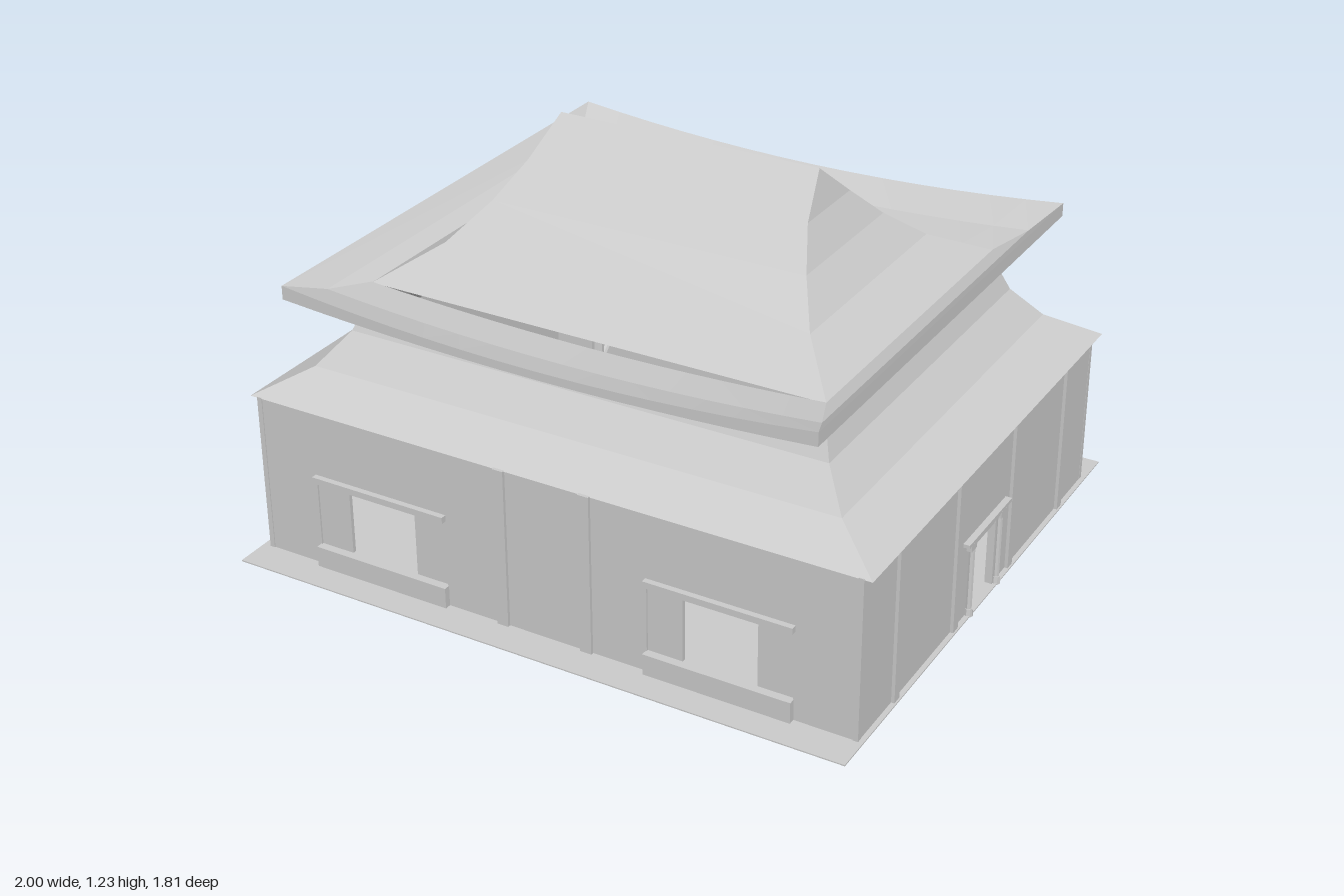
import * as THREE from 'three';

const mat = new THREE.MeshStandardMaterial({ color: 0xcccccc, flatShading: true });
const sheetMat = new THREE.MeshStandardMaterial({ color: 0xcccccc, flatShading: true, side: THREE.DoubleSide });

function add(parent, name, geometry, material = mat) {
  const mesh = new THREE.Mesh(geometry, material);
  mesh.name = name;
  parent.add(mesh);
  return mesh;
}

// Box given by its limits on each axis
function box(parent, name, x0, x1, y0, y1, z0, z1) {
  const g = new THREE.BoxGeometry(x1 - x0, y1 - y0, z1 - z0);
  g.translate((x0 + x1) / 2, (y0 + y1) / 2, (z0 + z1) / 2);
  return add(parent, name, g);
}

// Skin over rectangular rings [halfX, halfZ, y, sag]; the sag dips each ring at x = 0
function ringSkin(rings, steps = 1) {
  const loops = rings.map(([hx, hz, y, sag = 0]) => {
    const pts = [[hx, hz], [hx, -hz]];
    for (let i = 1; i <= steps; i++) pts.push([hx * (1 - 2 * i / steps), -hz]);
    pts.push([-hx, hz]);
    for (let i = 1; i < steps; i++) pts.push([-hx * (1 - 2 * i / steps), hz]);
    return pts.map(([x, z]) => [x, y - sag * (1 - (x / hx) ** 2), z]);
  });
  const pos = [];
  for (let s = 0; s + 1 < loops.length; s++) {
    const n = loops[s].length;
    for (let i = 0; i < n; i++) {
      const j = (i + 1) % n;
      const a = loops[s][i], b = loops[s][j], c = loops[s + 1][j], d = loops[s + 1][i];
      pos.push(...a, ...b, ...d, ...b, ...c, ...d);
    }
  }
  const g = new THREE.BufferGeometry();
  g.setAttribute('position', new THREE.Float32BufferAttribute(pos, 3));
  g.computeVertexNormals();
  return g;
}

// Wall panel in the xy plane with rectangular holes [x0, x1, y0, y1]
function wallGeometry(half, height, holes) {
  const rect = (P, x0, x1, y0, y1) => new P([
    new THREE.Vector2(x0, y0), new THREE.Vector2(x1, y0),
    new THREE.Vector2(x1, y1), new THREE.Vector2(x0, y1)]);
  const shape = rect(THREE.Shape, -half, half, 0, height);
  holes.forEach(h => shape.holes.push(rect(THREE.Path, ...h)));
  return new THREE.ExtrudeGeometry(shape, { depth: 0.02, bevelEnabled: false });
}

// Long wall with two sliding windows and two posts, outer face at z = 0
function longWall(name) {
  const g = new THREE.Group();
  g.name = name;
  add(g, 'wall', wallGeometry(0.97, 0.51, [[-0.78, -0.33, 0.07, 0.29], [0.33, 0.78, 0.07, 0.29]])).position.z = -0.02;
  for (const s of [-1, 1]) {
    const w = new THREE.Group();
    w.name = 'window';
    w.position.x = s * 0.555;
    g.add(w);
    box(w, 'windowHead', -0.228, 0.228, 0.285, 0.305, -0.01, 0.018);
    box(w, 'windowApron', -0.228, 0.228, 0, 0.07, -0.01, 0.02);
    for (const t of [-1, 1]) {
      const x = t * 0.17;
      box(w, 'slidingPanel', x - 0.055, x + 0.055, 0.07, 0.285, -0.018, -0.006);
    }
    box(g, 'wallPost', s * 0.138 - 0.018, s * 0.138 + 0.018, 0, 0.51, -0.01, 0.01);
    box(g, 'cornerPost', s * 0.968 - 0.008, s * 0.968 + 0.008, 0, 0.51, -0.014, 0.003);
  }
  return g;
}

// Short wall with four posts, outer face at z = 0
function shortWall(name, holes) {
  const g = new THREE.Group();
  g.name = name;
  add(g, 'wall', wallGeometry(0.79, 0.51, holes)).position.z = -0.02;
  for (const x of [-0.58, -0.195, 0.195, 0.58])
    box(g, 'wallPost', x - 0.016, x + 0.016, 0, 0.51, -0.01, 0.01);
  return g;
}

// Entrance surround, built facing +z
function doorway() {
  const g = new THREE.Group();
  g.name = 'doorway';
  for (const s of [-1, 1]) {
    const post = add(g, 'doorPost', new THREE.CylinderGeometry(0.01, 0.01, 0.24, 8));
    post.position.set(s * 0.098, 0.12, 0.006);
    const foot = add(g, 'postFoot', new THREE.CylinderGeometry(0.013, 0.015, 0.025, 8));
    foot.position.set(s * 0.098, 0.0125, 0.006);
    box(g, 'bracket', s * 0.105 - 0.018, s * 0.105 + 0.018, 0.225, 0.245, -0.004, 0.016);
    box(g, 'doorJamb', s * 0.083 - 0.005, s * 0.083 + 0.005, 0, 0.24, -0.02, 0.003);
  }
  box(g, 'lowerLintel', -0.12, 0.12, 0.235, 0.25, -0.015, 0.012);
  box(g, 'transom', -0.07, 0.07, 0.215, 0.222, -0.015, 0.002);
  box(g, 'upperLintel', -0.15, 0.15, 0.252, 0.263, -0.012, 0.02);
  return g;
}

// Inner column with curved brackets spreading to both sides
function column(x, z) {
  const g = new THREE.Group();
  g.name = 'innerColumn';
  g.position.set(x, 0, z);
  add(g, 'shaft', new THREE.CylinderGeometry(0.016, 0.026, 0.5, 10)).position.y = 0.25;
  for (const s of [-1, 1]) {
    const curve = new THREE.QuadraticBezierCurve3(
      new THREE.Vector3(0, 0.2, 0), new THREE.Vector3(0, 0.28, s * 0.02), new THREE.Vector3(0, 0.32, s * 0.12));
    add(g, 'curvedBracket', new THREE.TubeGeometry(curve, 8, 0.009, 6));
  }
  return g;
}

export function createModel() {
  const model = new THREE.Group();
  model.name = 'pavilion';

  box(model, 'groundSlab', -1, 0.99, 0, 0.004, -0.905, 0.905);

  // Walls
  const front = longWall('frontWall');
  front.position.z = 0.797;
  const back = longWall('backWall');
  back.rotation.y = Math.PI;
  back.position.z = -0.785;
  const left = shortWall('leftWall', [[-0.08, 0.08, 0.004, 0.24]]);
  left.rotation.y = Math.PI / 2;
  left.position.x = 0.975;
  left.add(doorway());
  const right = shortWall('rightWall', []);
  right.rotation.y = -Math.PI / 2;
  right.position.x = -0.975;
  model.add(front, back, left, right);

  // Lower skirt roof
  add(model, 'lowerRoof', ringSkin([
    [0.965, 0.775, 0.504], [1, 0.8, 0.508], [0.85, 0.68, 0.59], [0.77, 0.6, 0.69], [0.73, 0.55, 0.8]]), sheetMat);

  // Curved eave, dipping toward the middle
  add(model, 'upperEave', ringSkin([
    [0.73, 0.545, 0.797, 0.027], [0.785, 0.68, 0.818, 0.03], [0.84, 0.81, 0.862, 0.033],
    [0.84, 0.81, 0.904, 0.05], [0.785, 0.68, 0.853, 0.037], [0.73, 0.545, 0.833, 0.027]], 14), sheetMat);

  // Upper hipped roof rising to a ridge
  add(model, 'upperRoof', ringSkin([
    [0.73, 0.545, 0.83], [0.59, 0.37, 0.92], [0.51, 0.24, 1.02], [0.455, 0.13, 1.12], [0.422, 0, 1.228]]), sheetMat);

  // Interior
  for (const x of [-0.5, 0.485]) for (const z of [-0.3, 0.3]) model.add(column(x, z));
  box(model, 'chest', 0.585, 0.74, 0.004, 0.1, -0.66, -0.5);
  box(model, 'chestLid', 0.58, 0.745, 0.1, 0.112, -0.665, -0.495);

  return model;
}
